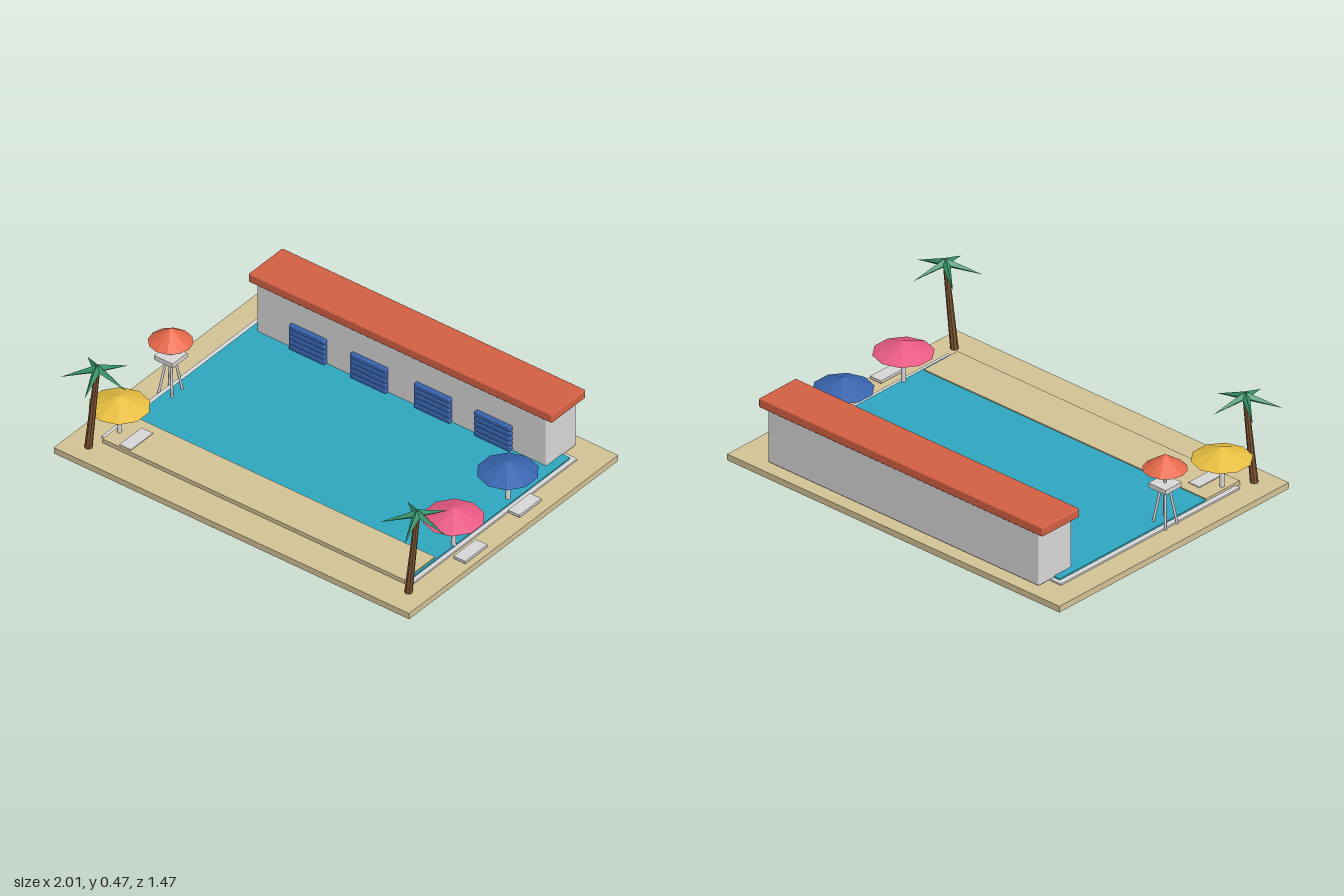
import * as THREE from 'three';
import { RoundedBoxGeometry } from 'three/addons/geometries/RoundedBoxGeometry.js';

const mat = (name, color) => {
  const m = new THREE.MeshStandardMaterial({ color });
  m.name = name;
  return m;
};

export function createModel() {
  const sand = mat('sand', 0xd2c195);
  const water = mat('water', 0x2ea6be);
  const stone = mat('pale grey', 0xd6d6d6);
  const terracotta = mat('terracotta', 0xd36043);
  const blue = mat('blue', 0x3763ad);
  const orange = mat('orange', 0xe8694a);
  const yellow = mat('yellow', 0xe6bd40);
  const pink = mat('pink', 0xe95a85);
  const bark = mat('bark', 0x7d5433);
  const leaf = mat('palm green', 0x329068);
  for (const m of [orange, yellow, pink, blue, leaf, bark]) m.flatShading = true;

  const model = new THREE.Group();
  model.name = 'poolside';

  const add = (parent, name, geometry, material, x = 0, y = 0, z = 0) => {
    const mesh = new THREE.Mesh(geometry, material);
    mesh.name = name;
    mesh.position.set(x, y, z);
    parent.add(mesh);
    return mesh;
  };
  // Box given by its limits on each axis, with optional rounded edges
  const block = (parent, name, material, [x0, x1], [y0, y1], [z0, z1], r = 0) => {
    const size = [x1 - x0, y1 - y0, z1 - z0];
    const g = r ? new RoundedBoxGeometry(...size, 2, r) : new THREE.BoxGeometry(...size);
    return add(parent, name, g, material, (x0 + x1) / 2, (y0 + y1) / 2, (z0 + z1) / 2);
  };
  // Tapered round post between two points
  const post = (parent, name, material, a, b, r0, r1, sides = 8) => {
    const from = new THREE.Vector3(...a), to = new THREE.Vector3(...b);
    const dir = to.clone().sub(from);
    const mesh = add(parent, name, new THREE.CylinderGeometry(r1, r0, dir.length(), sides), material);
    mesh.position.copy(from).add(to).multiplyScalar(0.5);
    mesh.quaternion.setFromUnitVectors(new THREE.Vector3(0, 1, 0), dir.normalize());
    return mesh;
  };
  const group = (name, x, z) => {
    const g = new THREE.Group();
    g.name = name;
    g.position.set(x, 0, z);
    model.add(g);
    return g;
  };

  // Ground, pool and beach
  block(model, 'ground', sand, [-1, 0.915], [0, 0.03], [-0.735, 0.7]);
  block(model, 'poolRim', stone, [-0.885, 0.8], [0.03, 0.038], [-0.6, 0.52]);
  block(model, 'poolWater', water, [-0.86, 0.778], [0.03, 0.045], [-0.58, 0.5]);
  block(model, 'beach', sand, [-0.86, 0.768], [0.03, 0.05], [0.335, 0.545]);

  // Pool house with a flat roof and roller shutters
  const house = group('poolHouse', 0, 0);
  block(house, 'walls', stone, [-0.825, 0.735], [0.035, 0.296], [-0.675, -0.47], 0.006);
  block(house, 'roof', terracotta, [-0.86, 0.775], [0.294, 0.338], [-0.69, -0.457], 0.006);
  const slats = 5, slatHeight = 0.026;
  for (const x of [-0.543, -0.213, 0.131, 0.456]) {
    const shutter = new THREE.Group();
    shutter.name = 'shutter';
    house.add(shutter);
    for (let i = 0; i < slats; i++) {
      const y = 0.043 + i * slatHeight;
      block(shutter, 'slat', blue, [x - 0.097, x + 0.097], [y, y + slatHeight], [-0.475, -0.45], 0.007);
    }
  }

  // Parasols, each with a lounger beside it
  for (const [name, material, x, z] of [
    ['blueParasol', blue, 0.748, -0.19],
    ['pinkParasol', pink, 0.77, 0.21],
    ['yellowParasol', yellow, -0.835, 0.46],
  ]) {
    const g = group(name, x, z);
    post(g, 'pole', stone, [0, 0.03, 0], [0, 0.19, 0], 0.011, 0.011, 10);
    add(g, 'canopy', new THREE.ConeGeometry(0.135, 0.057, 10), material, 0, 0.2135, 0);
    block(g, 'lounger', stone, [0.06, 0.122], [0.041, 0.054], [-0.076, 0.076]);
  }

  // Lifeguard tower
  const tower = group('lifeguardTower', -0.852, 0.086);
  for (const sx of [-1, 1]) {
    for (const sz of [-1, 1]) {
      post(tower, 'leg', stone, [sx * 0.037, 0.03, sz * 0.037], [sx * 0.012, 0.212, sz * 0.012], 0.006, 0.006);
    }
  }
  block(tower, 'platform', stone, [-0.05, 0.05], [0.21, 0.232], [-0.05, 0.05]);
  post(tower, 'mast', stone, [0, 0.23, 0], [0, 0.31, 0], 0.006, 0.006);
  add(tower, 'towerCanopy', new THREE.ConeGeometry(0.098, 0.07, 12), orange, 0, 0.336, 0);

  // Palms: leaning trunk and five drooping, tapering fronds
  const frond = new THREE.ConeGeometry(0.02, 0.165, 4);
  frond.translate(0, 0.0825, 0);
  frond.rotateZ(-Math.PI / 2 - 0.3);
  for (const [x, z] of [[-0.855, 0.585], [0.85, 0.56]]) {
    const palm = group('palm', x, z);
    post(palm, 'trunk', bark, [-0.033, 0.028, 0.02], [0, 0.447, 0], 0.018, 0.012);
    for (let i = 0; i < 5; i++) {
      add(palm, 'frond', frond, leaf, 0, 0.446, 0).rotation.y = (i * Math.PI * 2) / 5;
    }
  }

  return model;
}
